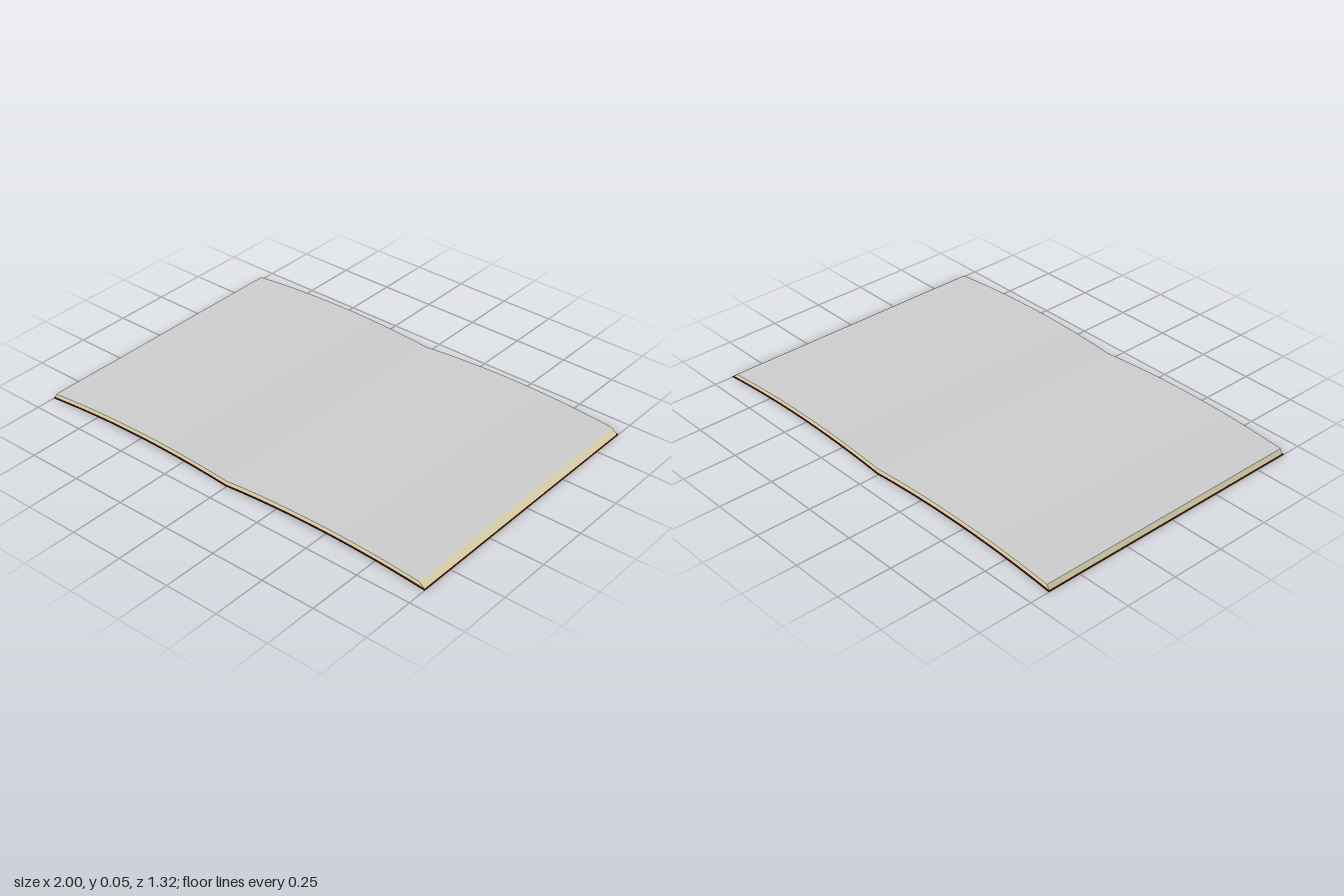
import * as THREE from 'three';
import { toCreasedNormals } from 'three/addons/utils/BufferGeometryUtils.js';

const SEG = 12;
const PAGE_DEPTH = 1.31;
const COVER_DEPTH = 1.32;

// Arched line from the spine (u = 0) to the outer edge (u = 1)
const arch = (u, spineY, edgeY, rise) => spineY + (edgeY - spineY) * u + 4 * rise * u * (1 - u);
const coverY = (u) => arch(u, 0.006, 0, 0.025);
const pageBottomY = (u) => coverY(u) + 0.004;
const pageTopY = (u) => arch(u, 0.03, 0.025, 0.024);

// Closed band between two arched lines, drawn out along z
function band(lower, upper, lowerWidth, upperWidth, side, depth) {
  const points = [];
  for (let i = 0; i <= SEG; i++) points.push(new THREE.Vector2(side * lowerWidth * i / SEG, lower(i / SEG)));
  for (let i = SEG; i >= 0; i--) points.push(new THREE.Vector2(side * upperWidth * i / SEG, upper(i / SEG)));
  const geometry = new THREE.ExtrudeGeometry(new THREE.Shape(points), { depth, bevelEnabled: false });
  geometry.translate(0, 0, -depth / 2);
  return toCreasedNormals(geometry, 0.3);
}

// Open sheet lying on top of a page block
function sheet(width, side) {
  const geometry = new THREE.PlaneGeometry(width, PAGE_DEPTH, SEG, 1);
  geometry.rotateX(-Math.PI / 2);
  geometry.translate(side * width / 2, 0, 0);
  const p = geometry.attributes.position;
  for (let i = 0; i < p.count; i++) p.setY(i, pageTopY(Math.abs(p.getX(i)) / width) + 0.0015);
  geometry.computeVertexNormals();
  return geometry;
}

export function createModel() {
  const model = new THREE.Group();
  model.name = 'openBook';
  const red = new THREE.MeshStandardMaterial({ color: 0x560a0a });
  const cream = new THREE.MeshStandardMaterial({ color: 0xeee4b8 });
  const grey = new THREE.MeshStandardMaterial({ color: 0xcccccc, side: THREE.DoubleSide });

  const add = (name, geometry, material) => {
    const mesh = new THREE.Mesh(geometry, material);
    mesh.name = name;
    model.add(mesh);
  };

  // Each half: thin cover, page block with a slanted outer edge, top page
  for (const [name, side, topWidth] of [['left', 1, 0.97], ['right', -1, 0.985]]) {
    add(name + 'Cover', band(coverY, pageBottomY, 1, 1, side, COVER_DEPTH), red);
    add(name + 'PageBlock', band(pageBottomY, pageTopY, 0.997, topWidth, side, PAGE_DEPTH), cream);
    add(name + 'TopPage', sheet(topWidth, side), grey);
  }
  return model;
}
